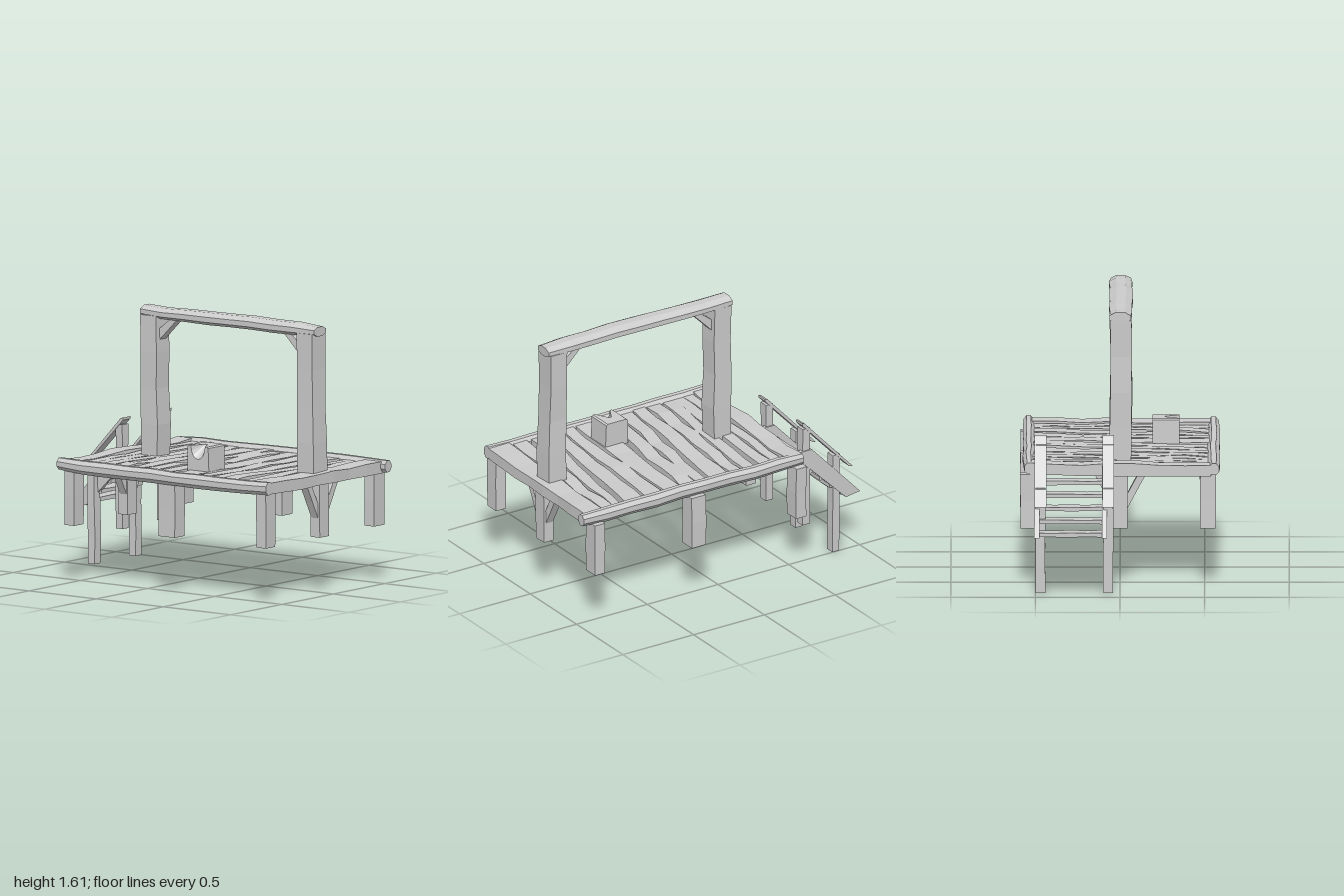
import * as THREE from 'three';

export function createModel() {
  const model = new THREE.Group();
  const material = new THREE.MeshStandardMaterial({ color: 0xcccccc, flatShading: true });
  let seed = 7;
  const jitter = (a) => {
    seed = (seed * 16807) % 2147483647;
    return (seed / 2147483647 - 0.5) * 2 * a;
  };
  const V = (x, y, z) => new THREE.Vector3(x, y, z);

  const add = (name, geometry) => {
    const mesh = new THREE.Mesh(geometry, material);
    mesh.name = name;
    model.add(mesh);
    return mesh;
  };

  // Hand-hewn timber from a to b: each ring along its length is shifted and scaled a little.
  // The depth axis follows ref; taper is the end width divided by the start width.
  function timber(name, a, b, width, depth, { segs = 4, wobble = 0.005, sides = 4, ref = V(0, 0, 1), taper = 1, trim = 0 } = {}) {
    const dir = b.clone().sub(a);
    const length = dir.length();
    const y = dir.normalize();
    const z = ref.clone().addScaledVector(y, -ref.dot(y)).normalize();
    const x = y.clone().cross(z);
    let g;
    if (sides === 4) g = new THREE.BoxGeometry(1, 1, 1, 1, segs, 1);
    else {
      const r = 0.5 / Math.cos(Math.PI / sides);
      g = new THREE.CylinderGeometry(r, r, 1, sides, segs).rotateY(Math.PI / sides);
    }
    const rings = Array.from({ length: segs + 1 }, (_, i) => {
      const end = i === 0 || i === segs;
      return {
        dx: jitter(wobble), dz: jitter(wobble * 0.6),
        sx: width * (1 + (taper - 1) * i / segs) * (end ? 1 - trim : 1) + jitter(wobble),
        sz: depth * (end ? 1 - trim : 1) + jitter(wobble),
      };
    });
    const p = g.attributes.position;
    for (let i = 0; i < p.count; i++) {
      const r = rings[Math.round((p.getY(i) + 0.5) * segs)];
      p.setXYZ(i, p.getX(i) * r.sx + r.dx, p.getY(i) * length, p.getZ(i) * r.sz + r.dz);
    }
    const mid = a.clone().add(b).multiplyScalar(0.5);
    g.applyMatrix4(new THREE.Matrix4().makeBasis(x, y, z).setPosition(mid));
    g.computeVertexNormals();
    return add(name, g);
  }

  // Side profile in x and y, extruded between two z values
  function slab(name, points, z0, z1) {
    const shape = new THREE.Shape(points.map(([x, y]) => new THREE.Vector2(x, y)));
    const g = new THREE.ExtrudeGeometry(shape, { depth: z1 - z0, bevelEnabled: false });
    return add(name, g.translate(0, 0, z0));
  }

  // Long edge logs, front and back
  const log = { sides: 8, segs: 9, wobble: 0.006, trim: 0.12 };
  timber('frontEdgeLog', V(-0.61, 0.692, 0.553), V(0.945, 0.692, 0.553), 0.082, 0.073, log);
  timber('backEdgeLog', V(-0.565, 0.697, -0.54), V(0.995, 0.697, -0.54), 0.082, 0.068, log);

  // Deck planks: [back left, back right, front left, front right] edges in x
  const planks = [
    [-0.565, -0.445, -0.6, -0.5], [-0.44, -0.37, -0.495, -0.43], [-0.36, -0.28, -0.42, -0.355],
    [-0.25, -0.175, -0.35, -0.275], [-0.165, -0.085, -0.26, -0.16], [-0.07, 0.055, -0.15, -0.07],
    [0.1, 0.165, -0.055, 0.03], [0.165, 0.265, 0.05, 0.14], [0.275, 0.385, 0.2, 0.335],
    [0.4, 0.52, 0.35, 0.425], [0.545, 0.665, 0.435, 0.52], [0.7, 0.745, 0.545, 0.65],
    [0.755, 0.825, 0.68, 0.78], [0.84, 0.96, 0.79, 0.94],
  ];
  // Front ends drift sideways only part of the way so that the boards stay nearly parallel
  planks.forEach(([bl, br, fl, fr], i) => {
    const edge = i === 0 || i === planks.length - 1;
    timber('deckPlank', V((bl + br) / 2, 0.688, -0.53), V((fl + fr) / 2, 0.688, 0.54), br - bl, edge ? 0.07 : 0.05,
      { ref: V(0, 1, 0), segs: 7, wobble: 0.008, taper: (fr - fl) / (br - bl) });
  });

  // Deck legs: three per long side, plus a braced one in the middle of each end
  for (const [x, w] of [[-0.53, 0.07], [0.193, 0.12], [0.895, 0.07]]) {
    timber('frontLeg', V(x, 0.335, 0.52), V(x, 0.68, 0.52), w, 0.095, { segs: 2, wobble: 0.003 });
    timber('backLeg', V(x, 0.335, -0.54), V(x, 0.66, -0.54), Math.min(w, 0.1), 0.1, { segs: 2, wobble: 0.003 });
  }
  for (const x of [-0.53, 0.895]) {
    timber('endLeg', V(x, 0.335, 0), V(x, 0.67, 0), 0.07, 0.09, { segs: 2, wobble: 0.003 });
    for (const s of [-1, 1])
      timber('endLegBrace', V(x, 0.46, s * 0.025), V(x, 0.67, s * 0.135), 0.05, 0.04, { segs: 2, wobble: 0.002 });
  }

  // Tall frame: two posts, crossbeam and corner braces
  for (const [x, s] of [[-0.322, 1], [0.842, -1]]) {
    timber('framePost', V(x, 0.68, 0.005), V(x, 1.55, 0.005), 0.118, 0.13, { segs: 4, wobble: 0.006 });
    slab('frameBrace', [[0.05, 1.4], [0.19, 1.54], [0.14, 1.54], [0.05, 1.47]]
      .map(([dx, y]) => [x + s * dx, y]), -0.025, 0.035);
  }
  timber('crossbeam', V(-0.39, 1.565, 0.003), V(0.905, 1.565, 0.003), 0.07, 0.135, { sides: 8, segs: 8, wobble: 0.007, trim: 0.1 });

  // Block with a hollow that runs in from the front top edge and narrows to a point
  const cx = 0.26, top = 0.858;
  const hollow = Array.from({ length: 9 }, (_, i) => {
    const a = Math.PI * i / 8;
    return [cx + 0.052 * Math.cos(a), top - 0.08 * Math.sin(a)];
  });
  const front = slab('blockFront',
    [[0.182, 0.7], [0.342, 0.7], [0.336, top - 0.008], [0.326, top], ...hollow, [0.194, top], [0.184, top - 0.008]], 0.265, 0.35);
  const bp = front.geometry.attributes.position;
  for (let i = 0; i < bp.count; i++) {
    const x = bp.getX(i), y = bp.getY(i);
    const inHollow = Math.abs(x - cx) < 0.0525 && y > 0.75;
    if (inHollow && bp.getZ(i) < 0.3) bp.setXY(i, cx + (x - cx) * 0.15, top + (y - top) * 0.05);
  }
  front.geometry.computeVertexNormals();
  slab('blockBack', [[0.182, 0.7], [0.342, 0.7], [0.336, top - 0.008], [0.326, top], [0.194, top], [0.184, top - 0.008]], 0.192, 0.265);

  // Stairs: posts, handrails and stringers on both sides
  for (const z of [-0.07, -0.47]) {
    timber('lowerStairPost', V(-0.835, 0, z), V(-0.835, 0.63, z), 0.05, 0.058, { segs: 4, wobble: 0.003 });
    timber('upperStairPost', V(-0.625, 0.23, z), V(-0.625, 0.855, z), 0.05, 0.058, { segs: 4, wobble: 0.003 });
    slab('handrail', [[-0.95, 0.53], [-0.925, 0.535], [-0.592, 0.885], [-0.592, 0.9], [-0.61, 0.895]], z - 0.035, z + 0.035);
    slab('stringer', [[-1, 0.355], [-0.9, 0.34], [-0.57, 0.665], [-0.57, 0.715], [-0.66, 0.715]], z - 0.037, z - 0.007);
  }

  // Stair treads
  for (let i = 0; i < 5; i++) {
    const x = -0.915 + i * 0.072, y = 0.367 + i * 0.065;
    timber('stairTread', V(x, y, -0.49), V(x, y, -0.09), 0.095, 0.024, { ref: V(0, 1, 0), segs: 4, wobble: 0.004 });
  }

  return model;
}
